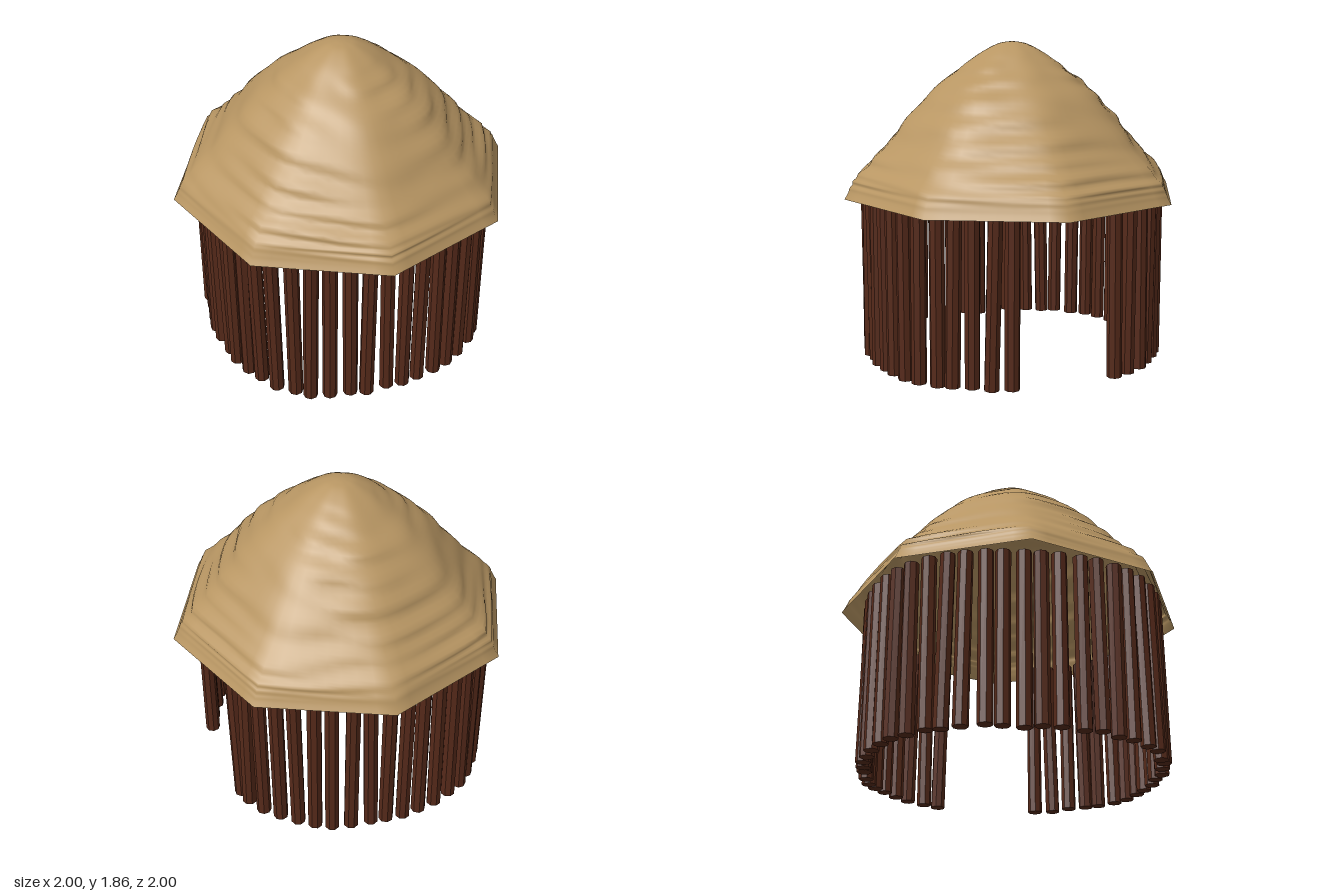
import * as THREE from 'three';

const thatch = new THREE.MeshStandardMaterial({ color: 0xb89663, roughness: 1, side: THREE.DoubleSide });
const wood = new THREE.MeshStandardMaterial({ color: 0x562a1a, roughness: 1, flatShading: true });

// Small seeded generator, returns -1..1
let seed = 7;
const rand = () => {
  seed = (seed * 16807) % 2147483647;
  return (seed / 2147483647) * 2 - 1;
};

// Roof outline at the corners: radius, height
const PROFILE = [
  [1, 0.98], [0.98, 1.015], [0.96, 1.06], [0.93, 1.11], [0.84, 1.2], [0.735, 1.31], [0.615, 1.45],
  [0.475, 1.59], [0.33, 1.7], [0.2, 1.79], [0.1, 1.842], [0.04, 1.857], [0, 1.86],
].map(([r, y]) => new THREE.Vector2(r, y));

// Thatched roof: an octagon at the eaves that rounds off towards the peak
function createRoof() {
  const rows = 72, cols = 64;
  const line = new THREE.SplineCurve(PROFILE).getPoints(rows);
  const geo = new THREE.LatheGeometry(line, cols);
  const pos = geo.attributes.position;
  for (let i = 0; i < pos.count; i++) {
    const row = i % line.length;
    const col = Math.floor(i / line.length) % cols;
    const a = (col / cols) * Math.PI * 2;
    const { x: r, y } = line[row];
    const t = row / rows;
    // distance to a regular octagon with corners on the axes
    const off = (a % (Math.PI / 4)) - Math.PI / 8;
    const octagon = Math.cos(Math.PI / 8) / Math.cos(off);
    const round = 0.96 + 0.015 * Math.cos(8 * a);
    const k = THREE.MathUtils.lerp(octagon, round, THREE.MathUtils.smoothstep(t, 0.1, 0.6));
    // uneven layers of straw, fading at the rim and the peak
    const fade = THREE.MathUtils.smoothstep(t, 0.08, 0.3) * (1 - THREE.MathUtils.smoothstep(t, 0.6, 0.8));
    const layer = Math.sin(t * 92 + 2 * Math.sin(2 * a + 1)) * 0.005 * (1 + Math.sin(3 * a + t * 9))
      + Math.sin(t * 55 + 3 * Math.sin(a) + Math.cos(5 * a)) * 0.005;
    const rr = r * k + layer * fade;
    pos.setXYZ(i, rr * Math.sin(a), y, rr * Math.cos(a));
  }
  geo.computeVertexNormals();
  // share normals across the closing seam
  const n = geo.attributes.normal;
  const last = cols * line.length;
  for (let j = 0; j < line.length; j++) {
    const v = new THREE.Vector3().fromBufferAttribute(n, j)
      .add(new THREE.Vector3().fromBufferAttribute(n, last + j)).normalize();
    n.setXYZ(j, v.x, v.y, v.z);
    n.setXYZ(last + j, v.x, v.y, v.z);
  }
  const roof = new THREE.Mesh(geo, thatch);
  roof.name = 'thatchedRoof';
  return roof;
}

// Ring of slightly leaning posts with a doorway on one side
function createWall() {
  const wall = new THREE.Group();
  wall.name = 'postWall';
  const count = 45, start = 116, end = 434, top = 1.0;
  const up = new THREE.Vector3(0, 1, 0);
  for (let i = 0; i < count; i++) {
    const a = THREE.MathUtils.degToRad(start + ((end - start) * i) / (count - 1));
    const r = 0.805 + 0.03 * Math.cos(a) ** 2 + 0.042 * Math.sin(2 * a) ** 2;
    const bottom = i === 30 ? 0 : 0.024 + 0.012 * Math.sin(a) + 0.006 * rand();
    const place = (y, lean, out) => new THREE.Vector3(
      (r + out) * Math.sin(a + lean) - 0.008, y, (r + out) * Math.cos(a + lean) + 0.008);
    const foot = place(bottom, 0.018 * rand(), 0.008 * rand());
    const head = place(top, 0.012 * rand(), 0);
    const axis = head.clone().sub(foot);
    const post = new THREE.Mesh(new THREE.CylinderGeometry(0.043, 0.043, axis.length(), 8), wood);
    post.name = 'wallPost';
    post.position.copy(foot).add(head).multiplyScalar(0.5);
    post.quaternion.setFromUnitVectors(up, axis.normalize());
    post.rotateY(rand());
    wall.add(post);
  }
  return wall;
}

export function createModel() {
  seed = 7;
  const hut = new THREE.Group();
  hut.name = 'hut';
  hut.add(createRoof(), createWall());
  return hut;
}
